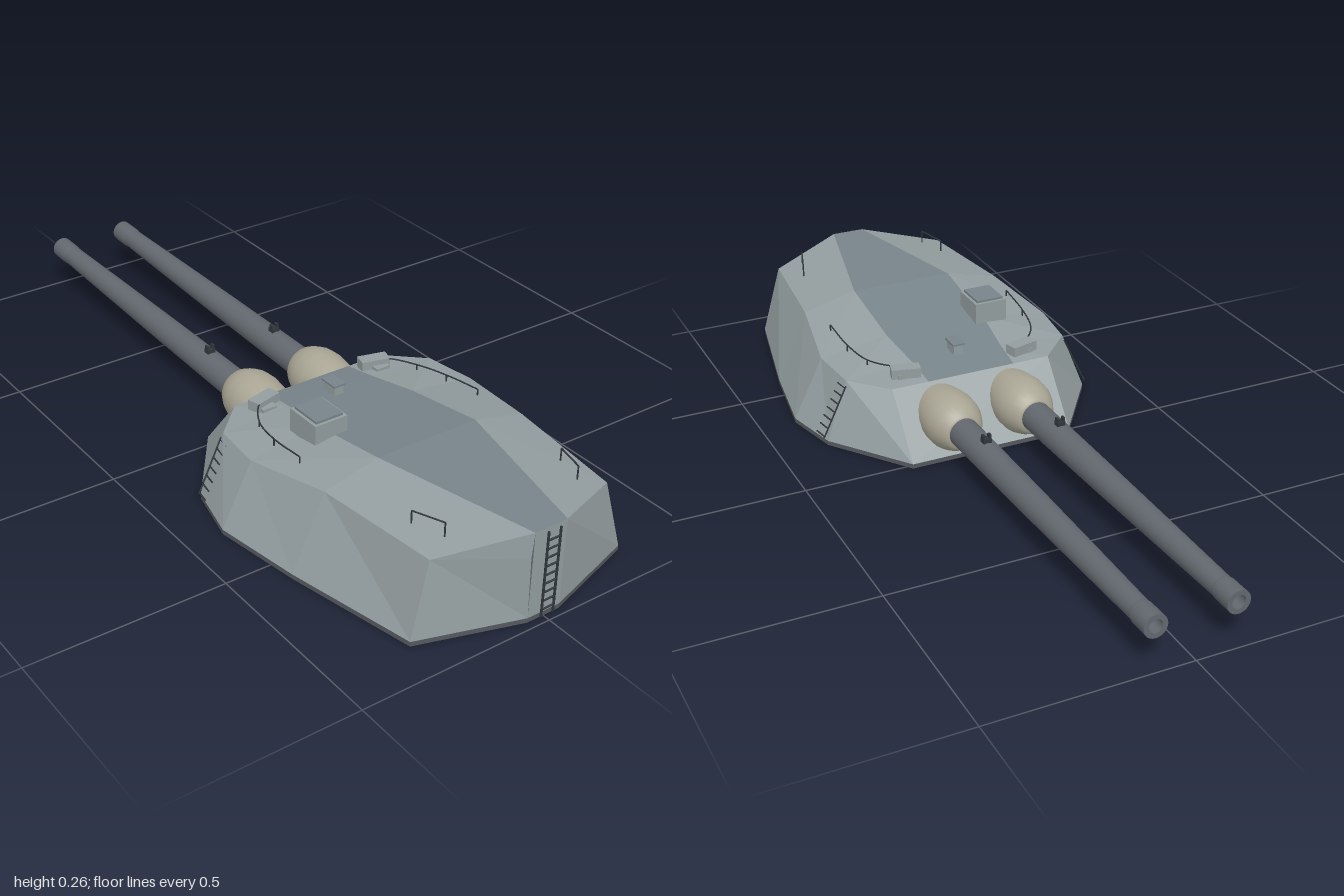
import * as THREE from 'three';

const paint = (color, extra = {}) => new THREE.MeshStandardMaterial({ color, ...extra });
const hullMat = paint(0x939d9f, { flatShading: true, side: THREE.DoubleSide });
const deckMat = paint(0x77848a, { flatShading: true, side: THREE.DoubleSide });
const plinthMat = paint(0x54595e, { flatShading: true });
const gunMat = paint(0x62686e, { side: THREE.DoubleSide });
const bagMat = paint(0xaaa695, { side: THREE.DoubleSide });
const railMat = paint(0x30363b);

// Half plan, front to rear: base (x, z), shoulder and roof ridge (x, y, z)
const BASE_Y = 0.012;
const base = [[0.22, -0.015], [0.37, 0.19], [0.405, 0.34], [0.37, 0.57], [0.3, 0.9], [0.045, 0.98]];
const shoulder = [[0.22, 0.165, 0.11], [0.31, 0.168, 0.2], [0.325, 0.172, 0.34],
  [0.285, 0.2, 0.57], [0.25, 0.197, 0.89], [0.045, 0.235, 0.98]];
const ridge = [[0.12, 0.165, 0.11], [0.125, 0.179, 0.2], [0.14, 0.2, 0.34],
  [0.14, 0.235, 0.57], [0.14, 0.235, 0.57], [0.045, 0.235, 0.98]];

function add(parent, name, geometry, material, x = 0, y = 0, z = 0) {
  const mesh = new THREE.Mesh(geometry, material);
  mesh.name = name;
  mesh.position.set(x, y, z);
  parent.add(mesh);
  return mesh;
}

function quadGeometry(quads) {
  const p = [];
  for (const [a, b, c, d] of quads) p.push(...a, ...b, ...c, ...a, ...c, ...d);
  const g = new THREE.BufferGeometry();
  g.setAttribute('position', new THREE.Float32BufferAttribute(p, 3));
  g.computeVertexNormals();
  return g;
}

// Straight round bar between two points
function bar(parent, name, a, b, r = 0.002) {
  const A = new THREE.Vector3(...a), B = new THREE.Vector3(...b);
  const m = add(parent, name, new THREE.CylinderGeometry(r, r, A.distanceTo(B), 6), railMat);
  m.position.copy(A).lerp(B, 0.5);
  m.quaternion.setFromUnitVectors(new THREE.Vector3(0, 1, 0), B.sub(A).normalize());
}

function buildHull(root) {
  const flip = ([x, y, z]) => [-x, y, z];
  const B = base.map(([x, z]) => [x, BASE_Y, z]);
  const BL = B.map(flip), SL = shoulder.map(flip), RL = ridge.map(flip);
  SL[5] = [-0.05, 0.172, 0.98]; // the rear shoulder is notched on one side
  const walls = [], slopes = [], deck = [];
  for (let k = 0; k < 5; k++) {
    walls.push([B[k], shoulder[k], shoulder[k + 1], B[k + 1]]);
    walls.push([BL[k + 1], SL[k + 1], SL[k], BL[k]]);
    slopes.push([shoulder[k], ridge[k], ridge[k + 1], shoulder[k + 1]]);
    slopes.push([SL[k], SL[k + 1], RL[k + 1], RL[k]]);
    deck.push([ridge[k], RL[k], RL[k + 1], ridge[k + 1]]);
  }
  walls.push([B[0], BL[0], SL[0], shoulder[0]]); // gun face
  walls.push([BL[5], B[5], ridge[5], RL[5]]);    // rear panel
  add(root, 'armourWalls', quadGeometry(walls), hullMat);
  add(root, 'roofSlopes', quadGeometry(slopes), hullMat);
  add(root, 'roofDeck', quadGeometry(deck), deckMat);

  // Dark foot strip with the same plan
  const plan = [...base, ...base.map(([x, z]) => [-x, z]).reverse()];
  const shape = new THREE.Shape(plan.map(([x, z]) => new THREE.Vector2(x, -z)));
  const foot = new THREE.ExtrudeGeometry(shape, { depth: BASE_Y, bevelEnabled: false });
  add(root, 'footPlate', foot.rotateX(-Math.PI / 2), plinthMat);
}

function buildGun(root, x) {
  const gun = new THREE.Group();
  gun.name = 'gun';
  gun.position.set(x, 0.096, 0);
  gun.rotation.x = -Math.PI / 2 + 0.018; // local +y runs toward the muzzle
  root.add(gun);
  const lathe = (pts, n) => new THREE.LatheGeometry(pts.map(([r, y]) => new THREE.Vector2(r, y)), n);
  add(gun, 'barrel', lathe([[0.04, 0], [0.038, 0.2], [0.035, 0.45], [0.031, 0.7], [0.027, 0.93]], 24), gunMat);
  add(gun, 'muzzle', lathe([[0.027, 0.93], [0.029, 0.94], [0.029, 0.995]], 24), gunMat);
  add(gun, 'muzzleFace', new THREE.RingGeometry(0.017, 0.029, 24).rotateX(-Math.PI / 2), gunMat, 0, 0.995, 0);
  add(gun, 'bore', lathe([[0.017, 0.995], [0.017, 0.9], [0, 0.9]], 20), gunMat);
  add(gun, 'blastBag', lathe([[0.062, -0.11], [0.07, -0.07], [0.075, -0.03], [0.073, 0.005],
    [0.065, 0.03], [0.055, 0.05], [0.046, 0.06], [0.036, 0.062]], 24), bagMat);
  // Small sight clamp on top of the barrel
  add(root, 'barrelClamp', new THREE.BoxGeometry(0.022, 0.012, 0.018), railMat, x, 0.141, -0.19);
  for (const s of [-1, 1])
    add(root, 'clampLug', new THREE.BoxGeometry(0.006, 0.012, 0.012), railMat, x + s * 0.008, 0.151, -0.19);
}

function buildRoofFittings(root) {
  // Rangefinder box with cap
  add(root, 'roofBox', new THREE.BoxGeometry(0.09, 0.06, 0.1), hullMat, -0.151, 0.222, 0.36);
  add(root, 'roofBoxCap', new THREE.BoxGeometry(0.075, 0.006, 0.085), deckMat, -0.151, 0.255, 0.36);
  // Central sight hood
  add(root, 'centreHood', new THREE.BoxGeometry(0.026, 0.026, 0.045), hullMat, 0, 0.195, 0.212);
  add(root, 'centreHoodLid', new THREE.BoxGeometry(0.034, 0.005, 0.052), deckMat, 0, 0.21, 0.212);
  for (const s of [-1, 1]) {
    // Front corner sight hoods
    const hood = add(root, 'sightHood', new THREE.BoxGeometry(0.075, 0.026, 0.035), hullMat, s * 0.165, 0.184, 0.155);
    hood.rotation.y = -s * 0.25;
    add(root, 'sightHoodFoot', new THREE.BoxGeometry(0.04, 0.02, 0.05), hullMat, s * 0.17, 0.173, 0.165);

    // Curved handrail along the roof slope
    const rail = [[0.14, 0.193, 0.155], [0.19, 0.195, 0.175], [0.235, 0.193, 0.24], [0.255, 0.2, 0.33], [0.26, 0.212, 0.44]]
      .map(([x, y, z]) => new THREE.Vector3(s * x, y, z));
    add(root, 'roofRail', new THREE.TubeGeometry(new THREE.CatmullRomCurve3(rail), 20, 0.002, 5), railMat);
    for (const p of rail) bar(root, 'railPost', p.toArray(), [p.x, p.y - 0.025, p.z]);

    // Rear grab rail
    const a = [s * 0.212, 0.242, 0.78], b = [s * 0.187, 0.248, 0.86];
    bar(root, 'rearGrabRail', a, b);
    bar(root, 'rearGrabPost', a, [a[0], 0.21, a[2]]);
    bar(root, 'rearGrabPost', b, [b[0], 0.213, b[2]]);

    // Climbing rungs up the side armour
    for (let i = 0; i < 7; i++) {
      const t = i / 6, x = s * (0.378 - 0.063 * t), y = 0.025 + 0.125 * t;
      bar(root, 'sideRung', [x, y, 0.195], [x + s * 0.006, y, 0.232]);
    }
    bar(root, 'sideLadderRail', [s * 0.378, 0.02, 0.195], [s * 0.313, 0.155, 0.195]);
  }
}

function buildRearLadder(root) {
  for (const s of [-1, 1])
    bar(root, 'ladderRail', [s * 0.017, 0.012, 0.991], [s * 0.017, 0.233, 0.991], 0.003);
  for (let i = 0; i < 9; i++) {
    const y = 0.03 + i * 0.0225;
    bar(root, 'ladderRung', [-0.017, y, 0.991], [0.017, y, 0.991], 0.0025);
  }
}

export function createModel() {
  const root = new THREE.Group();
  root.name = 'twinGunTurret';
  buildHull(root);
  for (const x of [-0.1, 0.1]) buildGun(root, x);
  buildRoofFittings(root);
  buildRearLadder(root);
  return root;
}
